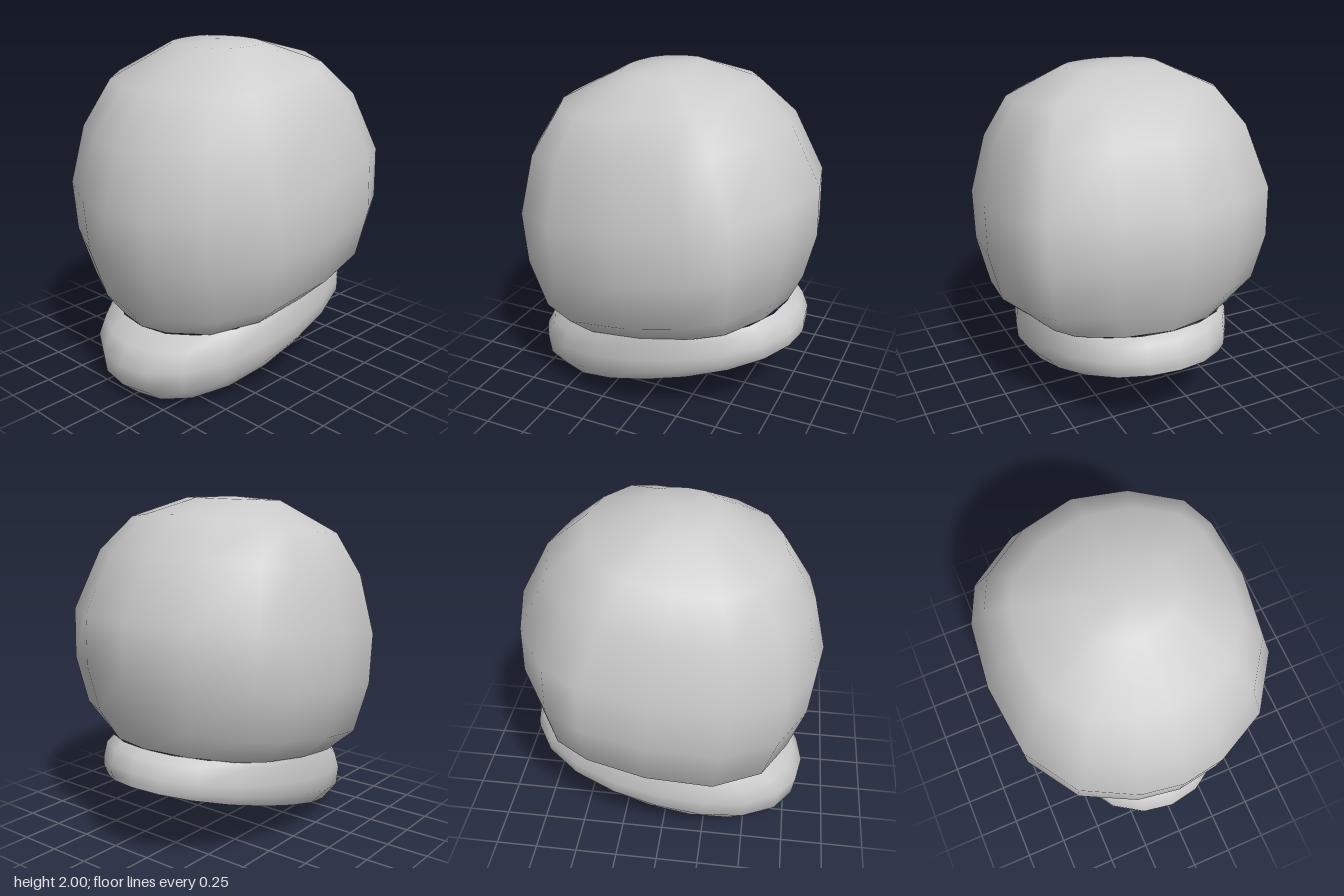
import * as THREE from 'three';

const material = new THREE.MeshStandardMaterial({ color: 0xcccccc });

// Rounded-square outline of the dome: back, along +x, front, then mirrored to -x
const half = [[0, -1], [0.44, -0.91], [0.82, -0.69], [0.945, -0.455], [1, -0.03],
  [0.94, 0.44], [0.69, 0.78], [0.31, 0.955], [0, 1]];
const domeOutline = [...half, ...half.slice(1, -1).reverse().map(([x, z]) => [-x, z])];

// Softer oval outline of the collar
const collarOutline = Array.from({ length: 20 }, (_, i) => {
  const a = (i / 20) * Math.PI * 2;
  const soft = 1 + 0.035 * Math.sin(2 * a) ** 2;
  return [Math.sin(a) * soft, -Math.cos(a) * soft];
});

// Tilted ring spanning a front point and a back point; sag lowers its sides
function ring(outline, [frontZ, frontY, backZ, backY, halfWidth, sag = 0]) {
  return outline.map(([x, z]) => {
    const t = (z + 1) / 2;
    return [x * halfWidth,
      THREE.MathUtils.lerp(backY, frontY, t) - sag * (1 - z * z),
      THREE.MathUtils.lerp(backZ, frontZ, t)];
  });
}

function makeMesh(name, points, index) {
  const geometry = new THREE.BufferGeometry();
  geometry.setAttribute('position', new THREE.Float32BufferAttribute(points.flat(), 3));
  geometry.setIndex(index);
  geometry.computeVertexNormals();
  const mesh = new THREE.Mesh(geometry, material);
  mesh.name = name;
  return mesh;
}

// Smooth wall through the rings, with an optional top centre point closing it
function loft(name, outline, levels, top) {
  const n = outline.length;
  const points = levels.flatMap((level) => ring(outline, level));
  const index = [];
  for (let i = 0; i < levels.length - 1; i++) {
    for (let j = 0; j < n; j++) {
      const a = i * n + j, b = i * n + (j + 1) % n;
      index.push(a, a + n, b, b, a + n, b + n);
    }
  }
  if (top) {
    const base = (levels.length - 1) * n;
    points.push(top);
    for (let j = 0; j < n; j++) index.push(points.length - 1, base + (j + 1) % n, base + j);
  }
  return makeMesh(name, points, index);
}

// Flat downward-facing base
function base(name, outline, level) {
  const points = ring(outline, level);
  const n = points.length;
  const index = [];
  for (let j = 1; j < n - 1; j++) index.push(0, j, j + 1);
  return makeMesh(name, points, index);
}

export function createModel() {
  const group = new THREE.Group();
  group.name = 'helmet';

  // Rings listed as front z, front y, back z, back y, half width, sag
  const domeLevels = [
    [0.68, 0.42, -0.75, 0.66, 0.585],
    [0.77, 0.55, -0.83, 0.83, 0.75],
    [0.87, 0.85, -0.895, 1.1, 0.815],
    [0.9, 1.15, -0.89, 1.39, 0.815],
    [0.82, 1.49, -0.71, 1.73, 0.715],
    [0.64, 1.78, -0.48, 1.92, 0.58, 0.03],
    [0.27, 1.975, -0.16, 1.995, 0.28],
  ];
  group.add(loft('dome', domeOutline, domeLevels, [0, 2, 0.05]));

  // Tilted neck collar with a rounded rim
  const collarLevels = [
    [0.72, 0.005, -0.85, 0.465, 0.53],
    [0.83, 0.1, -0.855, 0.5, 0.59],
    [0.85, 0.23, -0.855, 0.55, 0.595],
    [0.79, 0.34, -0.82, 0.635, 0.59],
    [0.68, 0.42, -0.75, 0.66, 0.58],
  ];
  group.add(loft('collar', collarOutline, collarLevels));
  group.add(base('collarBase', collarOutline, collarLevels[0]));

  return group;
}
